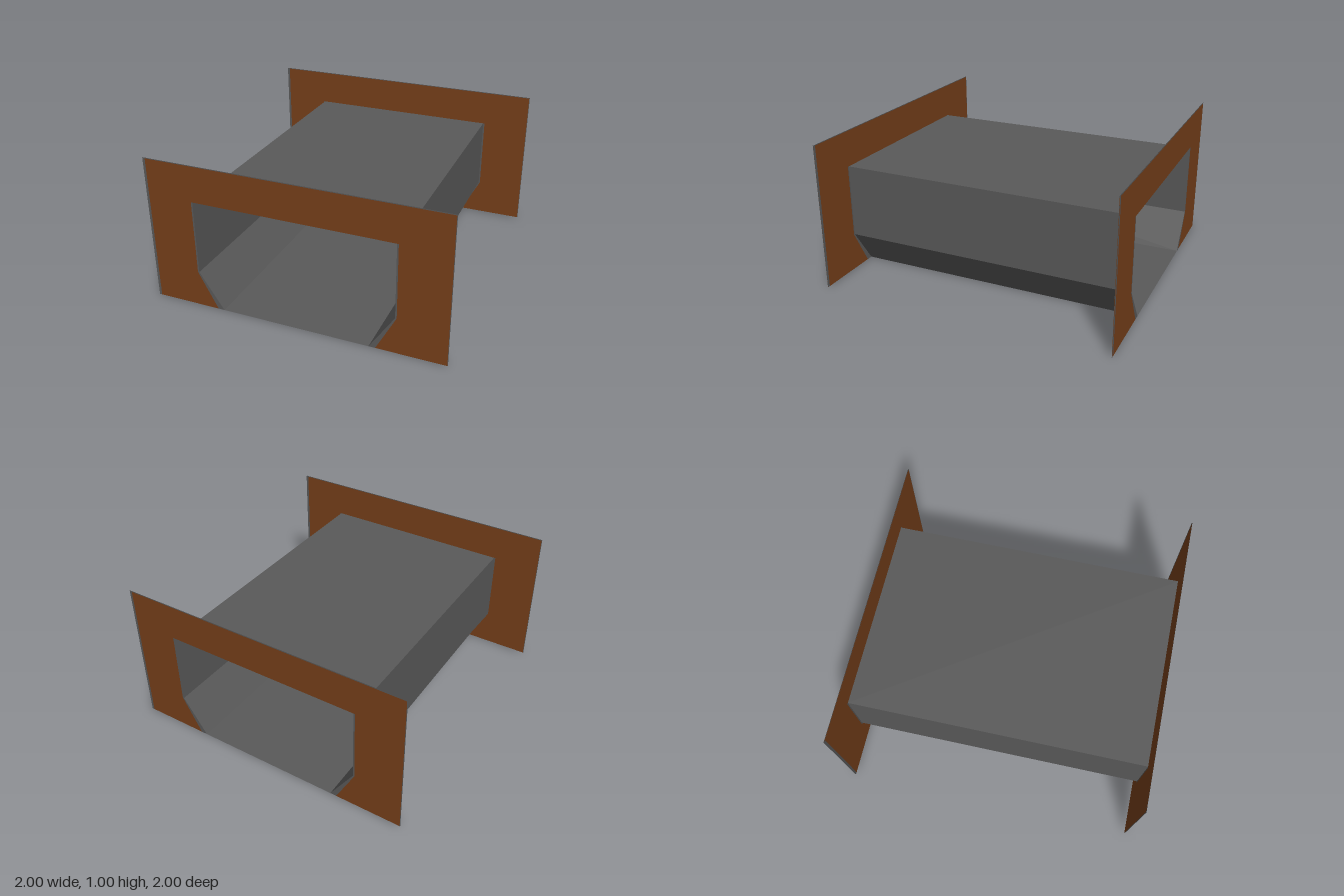
import * as THREE from 'three';

const W = 0.667, H = 0.752, SHOULDER = 0.25, FOOT = 0.502;

function flatShape(points) {
  return new THREE.ShapeGeometry(new THREE.Shape(points.map(([x, y]) => new THREE.Vector2(x, y))));
}

// Open-ended tube: one flat panel between each pair of neighbouring profile points
function tubeGeometry(profile) {
  const pos = [];
  profile.forEach(([x0, y0], i) => {
    const [x1, y1] = profile[(i + 1) % profile.length];
    const a = [x0, y0, 1], b = [x1, y1, 1], c = [x1, y1, -1], d = [x0, y0, -1];
    pos.push(...a, ...c, ...b, ...a, ...d, ...c);
  });
  const geo = new THREE.BufferGeometry();
  geo.setAttribute('position', new THREE.Float32BufferAttribute(pos, 3));
  geo.computeVertexNormals();
  return geo;
}

export function createModel() {
  const model = new THREE.Group();
  const brown = new THREE.MeshStandardMaterial({ color: 0x763f1a, side: THREE.DoubleSide });
  brown.name = 'brown';
  const grey = new THREE.MeshStandardMaterial({ color: 0x595959, side: THREE.DoubleSide });
  grey.name = 'grey';

  const add = (parent, name, geometry, material) => {
    const mesh = new THREE.Mesh(geometry, material);
    mesh.name = name;
    parent.add(mesh);
  };

  // Tunnel body with tapered lower walls and a floor
  add(model, 'tunnel', tubeGeometry([
    [-W, H], [-W, SHOULDER], [-FOOT, 0], [FOOT, 0], [W, SHOULDER], [W, H],
  ]), grey);

  // One side of an end plate: brown wall plus thin grey edging
  const e = 0.01, edge = 0.545, top = 0.996;
  const wall = flatShape([
    [-0.983, 0], [-edge, 0], [-W - e, SHOULDER], [-W - e, H],
    [W + e, H], [W + e, SHOULDER], [edge, 0], [0.997, 0], [0.997, top], [-0.983, top],
  ]);
  const trims = [
    ['sideTrim', flatShape([[-1, 0], [-0.983, 0], [-0.983, top], [-1, top]])],
    ['farSideTrim', flatShape([[0.997, 0], [1, 0], [1, top], [0.997, top]])],
    ['topTrim', flatShape([[-1, top], [1, top], [1, 1], [-1, 1]])],
    ...[-1, 1].map((s) => ['openingTrim', flatShape([
      [s * edge, 0], [s * FOOT, 0], [s * W, SHOULDER], [s * W, H],
      [s * (W + e), H], [s * (W + e), SHOULDER],
    ])]),
  ];

  // Each end plate is a thin pair of faces, the same seen from front and back
  const half = 0.0015;
  for (const [name, s] of [['frontPlate', 1], ['backPlate', -1]]) {
    const plate = new THREE.Group();
    plate.name = name;
    plate.position.z = s * (1 - half);
    for (const side of [1, -1]) {
      const face = new THREE.Group();
      face.name = side > 0 ? 'frontFace' : 'backFace';
      face.rotation.y = side > 0 ? 0 : Math.PI;
      face.position.z = side * half;
      add(face, 'wall', wall, brown);
      trims.forEach(([trimName, geo]) => add(face, trimName, geo, grey));
      plate.add(face);
    }
    model.add(plate);
  }
  return model;
}
